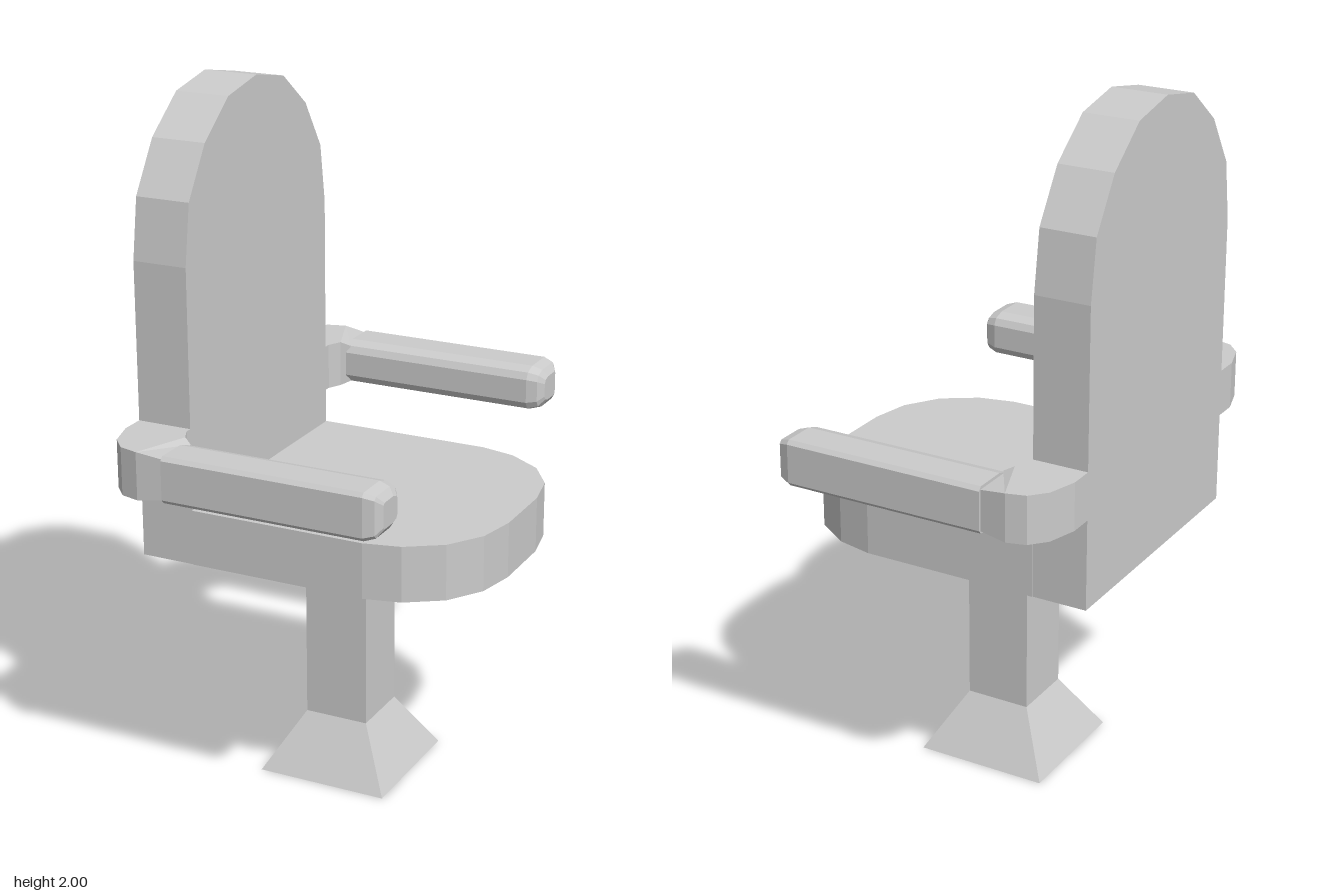
import * as THREE from 'three';

const material = new THREE.MeshStandardMaterial({ color: 0xcccccc, flatShading: true });

function part(name, geometry) {
  const mesh = new THREE.Mesh(geometry, material);
  mesh.name = name;
  return mesh;
}

// Skin a list of equal-length closed rings and cap both ends, facing outward.
function loft(rings) {
  const tris = [];
  const n = rings[0].length;
  for (let r = 0; r < rings.length - 1; r++) {
    const a = rings[r], b = rings[r + 1];
    for (let i = 0; i < n; i++) {
      const j = (i + 1) % n;
      tris.push([a[i], a[j], b[j]], [a[i], b[j], b[i]]);
    }
  }
  const first = rings[0], last = rings[rings.length - 1];
  for (let i = 1; i < n - 1; i++) {
    tris.push([first[0], first[i + 1], first[i]], [last[0], last[i], last[i + 1]]);
  }
  // The signed volume tells whether the winding must be turned round.
  const volume = tris.reduce((sum, [a, b, c]) => sum + a.dot(b.clone().cross(c)), 0);
  const points = tris.flatMap(([a, b, c]) => (volume < 0 ? [a, c, b] : [a, b, c]));
  const geometry = new THREE.BufferGeometry().setFromPoints(points);
  geometry.computeVertexNormals();
  return geometry;
}

function slab(points, depth) {
  const shape = new THREE.Shape(points.map(([x, y]) => new THREE.Vector2(x, y)));
  return new THREE.ExtrudeGeometry(shape, { depth, bevelEnabled: false });
}

// Close a half outline by mirroring it in its first or second coordinate.
const mirrored = (half, sx, sy) =>
  half.concat(half.slice().reverse().map(([x, y]) => [x * sx, y * sy]));

export function createModel() {
  const group = new THREE.Group();
  group.name = 'pedestalChair';
  const V = (x, y, z) => new THREE.Vector3(x, y, z);

  // Backrest: arched panel standing across the rear
  const arch = [[0.4, 0.715], [0.4, 1.56], [0.375, 1.73], [0.285, 1.87], [0.155, 1.97]];
  const backOutline = [...arch, [0, 2], ...arch.slice().reverse().map(([z, y]) => [-z, y])];
  group.add(part('backrest', slab(backOutline, 0.16).rotateY(Math.PI / 2).translate(-0.485, 0, 0)));

  // Seat: slab with a rounded leading edge
  const seatHalf = [[-0.325, -0.402], [0.19, -0.402], [0.295, -0.378], [0.395, -0.313],
    [0.46, -0.215], [0.483, -0.1]];
  group.add(part('seat', slab(mirrored(seatHalf, 1, -1), 0.16).rotateX(Math.PI / 2).translate(0, 0.875, 0)));

  // Pedestal: square column flaring at foot and top
  const column = [[0, 0.195], [0.17, 0.095], [0.575, 0.095], [0.675, 0.18], [0.715, 0.23]];
  group.add(part('pedestal', loft(column.map(([y, h]) =>
    [[-h, -h], [h, -h], [h, h], [-h, h]].map(([x, z]) => V(x - 0.043, y, z))))));

  // Armrests: curved bracket from the backrest plus a bevelled bar, both sides
  const armY = 1.043, armZ = 0.542;
  // inner x, inner z, outer x, outer z, half height
  const bend = [
    [-0.325, 0.39, -0.485, 0.39, 0.068],
    [-0.325, 0.42, -0.485, 0.47, 0.068],
    [-0.32, 0.43, -0.46, 0.555, 0.068],
    [-0.315, 0.44, -0.42, 0.6, 0.068],
    [-0.305, 0.46, -0.365, 0.615, 0.068],
    [-0.28, 0.475, -0.28, 0.607, 0.056],
  ];
  // bar cross-section: z and y offset from the bar's axis
  const section = mirrored([[-0.075, 0.035], [-0.064, 0.055], [-0.03, 0.066],
    [0.063, 0.066], [0.073, 0.055]], 1, -1);
  const bar = [[-0.29, 1], [0.295, 1], [0.325, 0.86], [0.34, 0.55]];

  for (const [side, s] of [['left', -1], ['right', 1]]) {
    group.add(part(side + 'ArmBracket', loft(bend.map(([xi, zi, xo, zo, h]) => [
      V(xi, armY - h, s * zi), V(xo, armY - h, s * zo),
      V(xo, armY + h, s * zo), V(xi, armY + h, s * zi)]))));
    group.add(part(side + 'Armrest', loft(bar.map(([x, k]) =>
      section.map(([z, y]) => V(x, armY + y * k, s * (armZ + z * k)))))));
  }
  return group;
}
